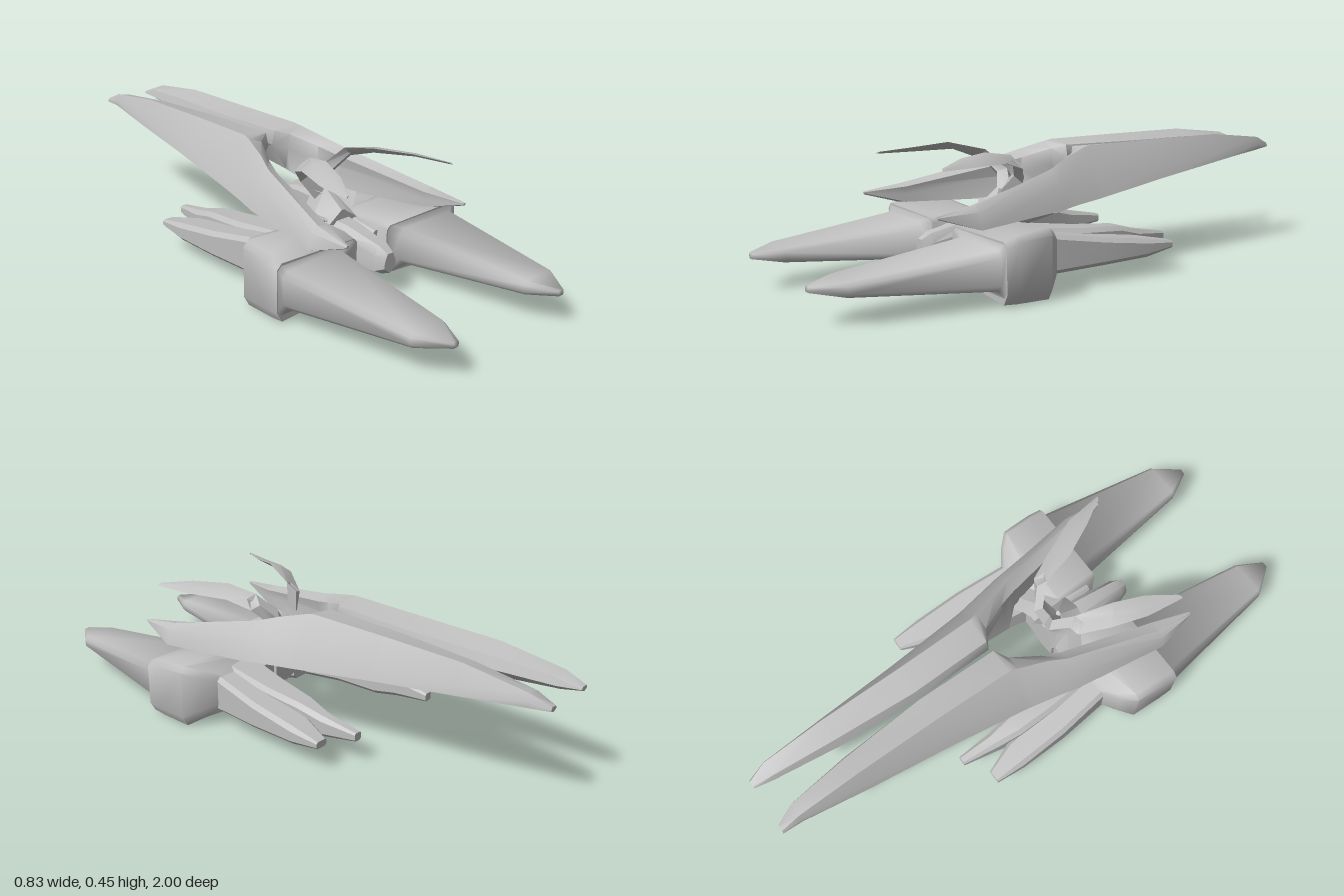
import * as THREE from 'three';
import { toCreasedNormals } from 'three/addons/utils/BufferGeometryUtils.js';

const hull = new THREE.MeshStandardMaterial({ color: 0xbebebe, side: THREE.DoubleSide });
hull.name = 'hull grey';

// Skins a list of equal-sized rings of [x, y, z], front to back, and caps both ends
function loft(name, rings, side = 1, crease = 0.6) {
  const n = rings[0].length, pos = [], idx = [];
  rings.forEach(r => r.forEach(([x, y, z]) => pos.push(x * side, y, z)));
  const tri = (a, b, c) => (side > 0 ? idx.push(a, b, c) : idx.push(a, c, b));
  for (let k = 0; k < rings.length - 1; k++) {
    for (let i = 0; i < n; i++) {
      const j = (i + 1) % n, a = k * n, b = a + n;
      tri(a + i, b + i, b + j);
      tri(a + i, b + j, a + j);
    }
  }
  const last = (rings.length - 1) * n;
  for (let i = 1; i < n - 1; i++) {
    tri(0, i, i + 1);
    tri(last, last + i + 1, last + i);
  }
  const g = new THREE.BufferGeometry();
  g.setAttribute('position', new THREE.Float32BufferAttribute(pos, 3));
  g.setIndex(idx);
  const mesh = new THREE.Mesh(toCreasedNormals(g, crease), hull);
  mesh.name = name;
  return mesh;
}

// Rectangle ring with cut corners
function box(z, x0, x1, y0, y1, c = 0.015) {
  return [[x0 + c, y0], [x1 - c, y0], [x1, y0 + c], [x1, y1 - c],
    [x1 - c, y1], [x0 + c, y1], [x0, y1 - c], [x0, y0 + c]].map(p => [...p, z]);
}

// Diamond ring round a centre, from a half-width and a half-thickness vector
function diamond(c, w, t) {
  const at = (v, s) => c.map((q, i) => q + s * v[i]);
  return [at(w, 1), at(t, 1), at(w, -1), at(t, -1)];
}

// Ring at one z from x, y pairs
const ring = (z, ...pts) => pts.map(p => [...p, z]);

// tipShift moves the wing's rear tip outward; hornPeak is the top of the horn
function buildSide(s, label, tipShift, hornPeak) {
  const g = new THREE.Group();
  g.name = label + 'Half';

  // Engine pod, thicker on its outer side
  const pod = (z, x0, x1, yIn0, yIn1, yOut0, yOut1) => ring(z, [x0 + 0.02, yIn0],
    [x1 - 0.02, yOut0], [x1, yOut0 + 0.035], [x1, yOut1 - 0.02], [x1 - 0.02, yOut1],
    [x0 + 0.015, yIn1], [x0, yIn1 - 0.015], [x0, yIn0 + 0.015]);
  g.add(loft('enginePod', [
    pod(0.42, 0.07, 0.413, 0.03, 0.203, 0.008, 0.208),
    pod(0.37, 0.065, 0.413, 0.022, 0.212, 0.004, 0.222),
    pod(0.25, 0.065, 0.408, 0.02, 0.215, 0, 0.23),
    pod(0.205, 0.09, 0.365, 0.035, 0.2, 0.03, 0.21),
    pod(0.15, 0.13, 0.29, 0.06, 0.175, 0.055, 0.175),
  ], s, 0.9));

  // Long forward prong, flowing out of the pod's front face
  g.add(loft('frontProng', [
    box(0.995, 0.235, 0.26, 0.105, 0.125, 0.004),
    box(0.9, 0.185, 0.33, 0.09, 0.137, 0.012),
    box(0.43, 0.127, 0.397, 0.05, 0.18, 0.02),
    box(0.42, 0.075, 0.41, 0.03, 0.2, 0.015),
  ], s, 1.8));

  // Forked tail behind the pod
  g.add(loft('outerTail', [
    box(0.2, 0.2, 0.31, 0.05, 0.19),
    box(-0.02, 0.22, 0.335, 0.06, 0.155),
    box(-0.2, 0.24, 0.34, 0.065, 0.13),
    box(-0.31, 0.285, 0.333, 0.085, 0.11, 0.006),
  ], s));
  g.add(loft('innerTail', [
    box(0.22, 0.1, 0.24, 0.05, 0.2),
    box(0, 0.14, 0.25, 0.06, 0.175),
    box(-0.15, 0.165, 0.25, 0.05, 0.165),
    box(-0.24, 0.175, 0.235, 0.065, 0.14),
    box(-0.37, 0.18, 0.212, 0.085, 0.115, 0.006),
  ], s));

  // Long slanted upper wing, ridged outside and hollowed inside towards the front
  g.add(loft('upperWing', [
    ring(0.58, [0.265, 0.282], [0.265, 0.278], [0.27, 0.274], [0.275, 0.277], [0.275, 0.28], [0.272, 0.284]),
    ring(0.44, [0.222, 0.295], [0.225, 0.268], [0.225, 0.24], [0.302, 0.23], [0.288, 0.285], [0.262, 0.303]),
    ring(0.1, [0.14, 0.357], [0.158, 0.31], [0.135, 0.235], [0.255, 0.25], [0.225, 0.33], [0.178, 0.378]),
    ring(0.03, [0.115, 0.378], [0.11, 0.325], [0.07, 0.25], [0.24, 0.258], [0.205, 0.338], [0.15, 0.402]),
    ring(-0.07, [0.065, 0.41], [0.06, 0.355], [0.07, 0.265], [0.22, 0.265], [0.185, 0.345], [0.122, 0.43]),
    ring(-0.1, [0.02, 0.425], [0.008, 0.375], [0.075, 0.267], [0.215, 0.268], [0.18, 0.347], [0.115, 0.437]),
    ring(-0.4, [0.015, 0.42], [0.003, 0.375], [0.09, 0.29], [0.178, 0.305], [0.16, 0.352], [0.11, 0.438]),
    ring(-0.7, [0.035, 0.415], [0.02, 0.375], [0.09, 0.323], [0.148, 0.34], [0.138, 0.37], [0.11, 0.437]),
    ring(-0.93, [0.058, 0.4], [0.05, 0.375], [0.085, 0.352], [0.118, 0.365], [0.118, 0.385], [0.108, 0.41]),
    ring(-1, [0.07, 0.378], [0.065, 0.37], [0.08, 0.362], [0.095, 0.366], [0.096, 0.372], [0.09, 0.38])
      .map(([x, y, z]) => [x + tipShift, y, z]),
  ], s, 0.8));

  // Strut from body to wing
  g.add(loft('wingStrut', [
    diamond([0.03, 0.185, 0.22], [0, 0.02, 0.06], [-0.015, 0.025, 0]),
    diamond([0.11, 0.205, 0.17], [0, 0.01, 0.05], [-0.01, 0.02, 0]),
    diamond([0.19, 0.245, 0.1], [0, 0.01, 0.06], [-0.01, 0.015, 0]),
  ], s));

  // Plate joining body and pod
  g.add(loft('podJoint', [
    box(0.38, 0.045, 0.1, 0.04, 0.18, 0.01),
    box(0.27, 0.035, 0.12, 0.028, 0.2, 0.015),
    box(0.14, 0.05, 0.14, 0.06, 0.17, 0.015),
  ], s));

  // Horn sweeping up, out and forward
  g.add(loft('horn', [
    diamond([0.235, 0.42, 0.54], [0.008, -0.004, 0.003], [0, 0.003, 0]),
    diamond([0.195, 0.428, 0.42], [0.03, -0.012, -0.015], [0, 0.006, 0]),
    diamond(hornPeak, [0.03, -0.017, -0.025], [0.003, 0.01, 0.003]),
    diamond([0.105, 0.402, 0.19], [0.024, -0.022, -0.01], [0.01, 0.01, 0.022]),
    diamond([0.05, 0.34, 0.145], [0.022, -0.02, 0], [0.006, 0.006, 0.025]),
    diamond([-0.01, 0.265, 0.17], [0.028, -0.024, 0], [0.006, 0.006, 0.035]),
  ], s));
  return g;
}

export function createModel() {
  const model = new THREE.Group();
  model.name = 'spacecraft';
  model.add(buildSide(1, 'left', 0, [0.135, 0.426, 0.29]));
  model.add(buildSide(-1, 'right', 0.02, [0.155, 0.437, 0.3]));

  // Cockpit nose
  const nose = (z, w, y0, y1) => ring(z, [0, y0], [w, y0 + 0.02], [w, y1 - 0.03],
    [w * 0.5, y1], [-w * 0.5, y1], [-w, y1 - 0.03], [-w, y0 + 0.02]);
  model.add(loft('cockpit', [
    nose(0.505, 0.025, 0.085, 0.155),
    nose(0.47, 0.036, 0.07, 0.175),
    nose(0.32, 0.05, 0.058, 0.205),
    nose(0.22, 0.065, 0.055, 0.21),
    nose(0.13, 0.055, 0.08, 0.19),
  ]));

  // Ridged pylon carrying the horns
  model.add(loft('pylon', [
    ring(0.28, [-0.07, 0.195], [0.07, 0.195], [0.006, 0.24], [-0.006, 0.24]),
    ring(0.2, [-0.075, 0.19], [0.075, 0.19], [0.008, 0.3], [-0.008, 0.3]),
    ring(0.13, [-0.06, 0.17], [0.06, 0.17], [0.008, 0.27], [-0.008, 0.27]),
  ]));
  return model;
}
